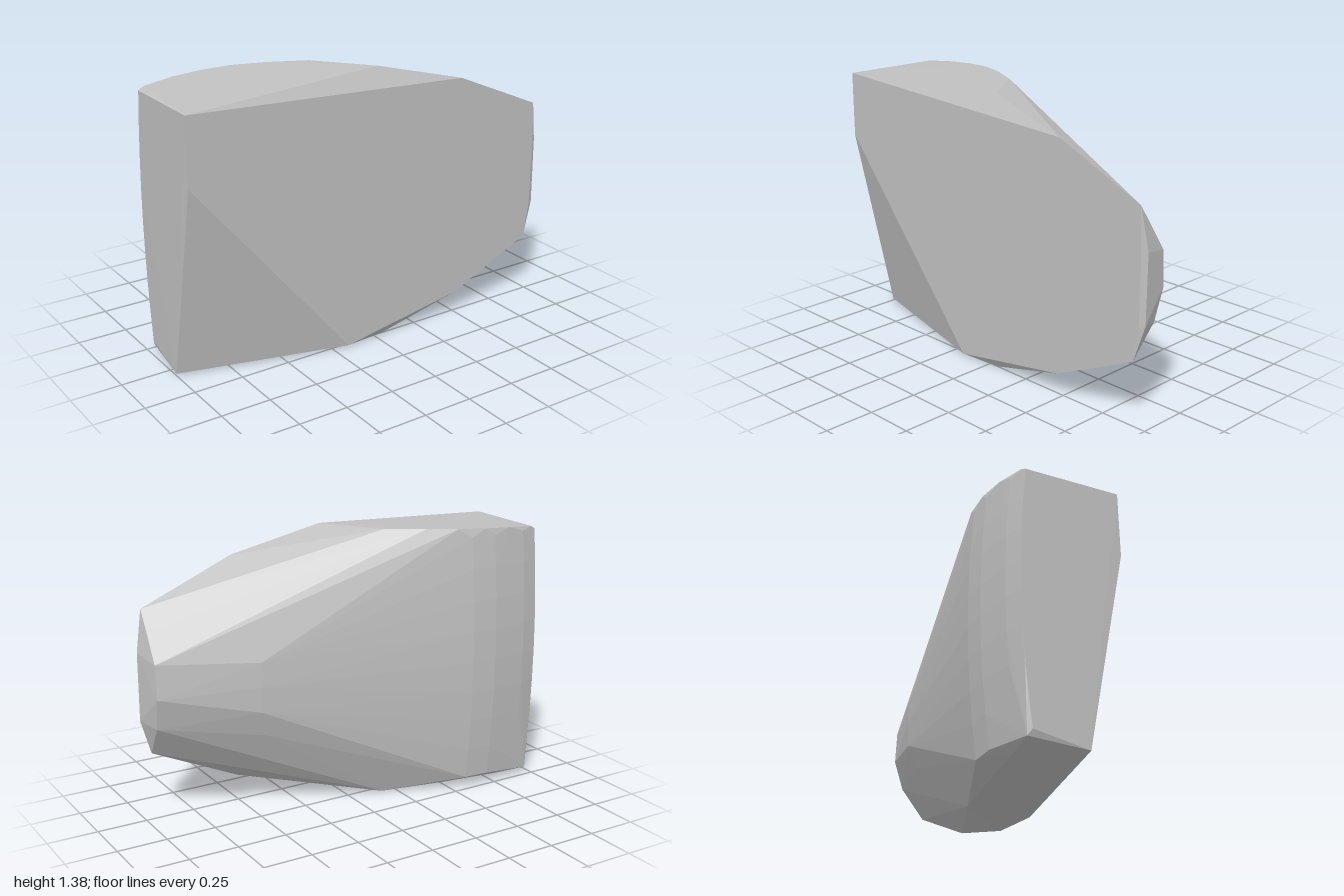
import * as THREE from 'three';
import { ConvexGeometry } from 'three/addons/geometries/ConvexGeometry.js';

export function createModel() {
  const grey = new THREE.MeshStandardMaterial({ color: 0xc0c0c0 });
  grey.name = 'plain grey';
  const pts = [];
  const add = (...list) => list.forEach(([x, y, z]) => pts.push(new THREE.Vector3(x, y, z)));

  // flat front face, with its lower corner chamfered backwards
  add([-1, 1.33, 0.28], [-1, 1.0, 0.28], [-1, 0.01, 0.065], [-0.17, 0.008, 0.28],
    [0.49, 0.12, 0.28], [0.945, 0.33, 0.28], [0.972, 0.5, 0.28],
    [0.975, 0.85, 0.28], [0.965, 1.055, 0.28], [0.49, 1.26, 0.28]);

  // bevelled narrow end
  add([1, 0.51, 0.267], [1, 0.85, 0.263], [0.965, 0.96, 0.215],
    [0.97, 0.82, 0.125], [0.97, 0.65, 0.115], [0.96, 0.49, 0.16]);

  // rim of the top face
  add([0.03, 1.377, 0.225], [-0.17, 1.372, -0.055], [-0.35, 1.369, -0.15], [-0.5, 1.364, -0.212],
    [-0.65, 1.357, -0.237], [-0.8, 1.348, -0.235], [-0.955, 1.335, -0.21]);

  // rim of the bottom face
  add([0.05, 0, 0.25], [-0.17, 0.006, -0.055], [-0.5, 0.01, -0.13],
    [-0.8, 0.018, -0.19], [-0.97, 0.03, -0.225]);

  // rounded shoulder of the sloping back
  add([0.5, 0.55, -0.036], [0.5, 0.68, -0.04], [0.5, 0.8, -0.036],
    [0.47, 0.95, 0], [0.47, 0.42, 0]);

  // bulging back, as columns that curve forward at top and bottom
  const columns = [[-0.983, -0.243], [-0.89, -0.267], [-0.7, -0.283], [-0.57, -0.274]];
  for (const [x, z] of columns) {
    for (let i = 0; i <= 8; i++) {
      const t = i / 4 - 1;
      add([x, 0.69 + 0.63 * t, z + 0.038 * t * t]);
    }
  }

  const stone = new THREE.Mesh(new ConvexGeometry(pts), grey);
  stone.name = 'stoneBlock';
  const group = new THREE.Group();
  group.name = 'facetedStone';
  group.add(stone);
  return group;
}
